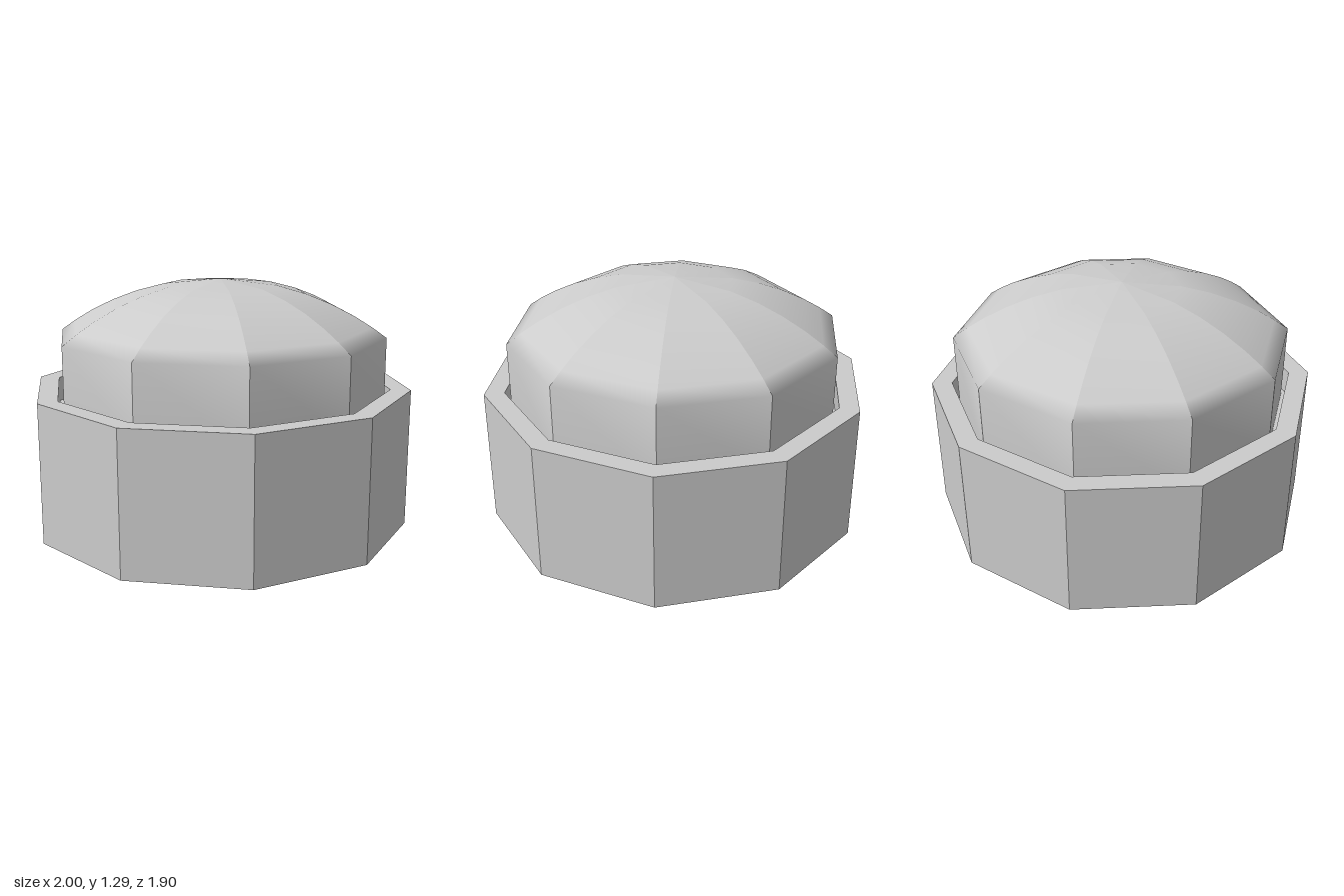
import * as THREE from 'three';
import { mergeGeometries } from 'three/addons/utils/BufferGeometryUtils.js';

const SIDES = 10;
const STEP = (Math.PI * 2) / SIDES;
const START = STEP / 2; // puts corners on the x axis
const RIM_Y = 0.73, FLOOR_Y = 0.6;
const DOME_R = 0.865, DOME_Y = 1.0, APEX_Y = 1.29;

const profile = (pairs) => pairs.map(([r, y]) => new THREE.Vector2(r, y));

// Each wedge is smooth along its height but keeps a crease against its neighbours
function facetedLathe(points) {
  const wedges = [];
  for (let i = 0; i < SIDES; i++) {
    const wedge = new THREE.LatheGeometry(points, 1, START + i * STEP, STEP);
    wedge.computeVertexNormals();
    wedges.push(wedge);
  }
  return mergeGeometries(wedges);
}

export function createModel() {
  const model = new THREE.Group();
  model.name = 'domedButton';

  // Ten-sided housing with a shallow recess in its top
  const housing = new THREE.Mesh(
    new THREE.LatheGeometry(
      profile([[0, 0], [1, 0], [1, RIM_Y], [0.895, RIM_Y], [0.895, FLOOR_Y], [0, FLOOR_Y]]),
      SIDES, START
    ),
    new THREE.MeshStandardMaterial({ color: 0xcccccc, flatShading: true })
  );
  housing.name = 'housing';
  model.add(housing);

  // Cap: straight wall topped by a spherical dome
  const rise = APEX_Y - DOME_Y;
  const R = (DOME_R ** 2 + rise ** 2) / (2 * rise);
  const domePoints = [DOME_R, 0.79, 0.7, 0.58, 0.45, 0.3, 0]
    .map((r) => [r, APEX_Y - R + Math.sqrt(R * R - r * r)]);
  const cap = new THREE.Mesh(
    facetedLathe(profile([[DOME_R, FLOOR_Y], ...domePoints])),
    new THREE.MeshStandardMaterial({ color: 0xcccccc })
  );
  cap.name = 'domedCap';
  model.add(cap);

  return model;
}
